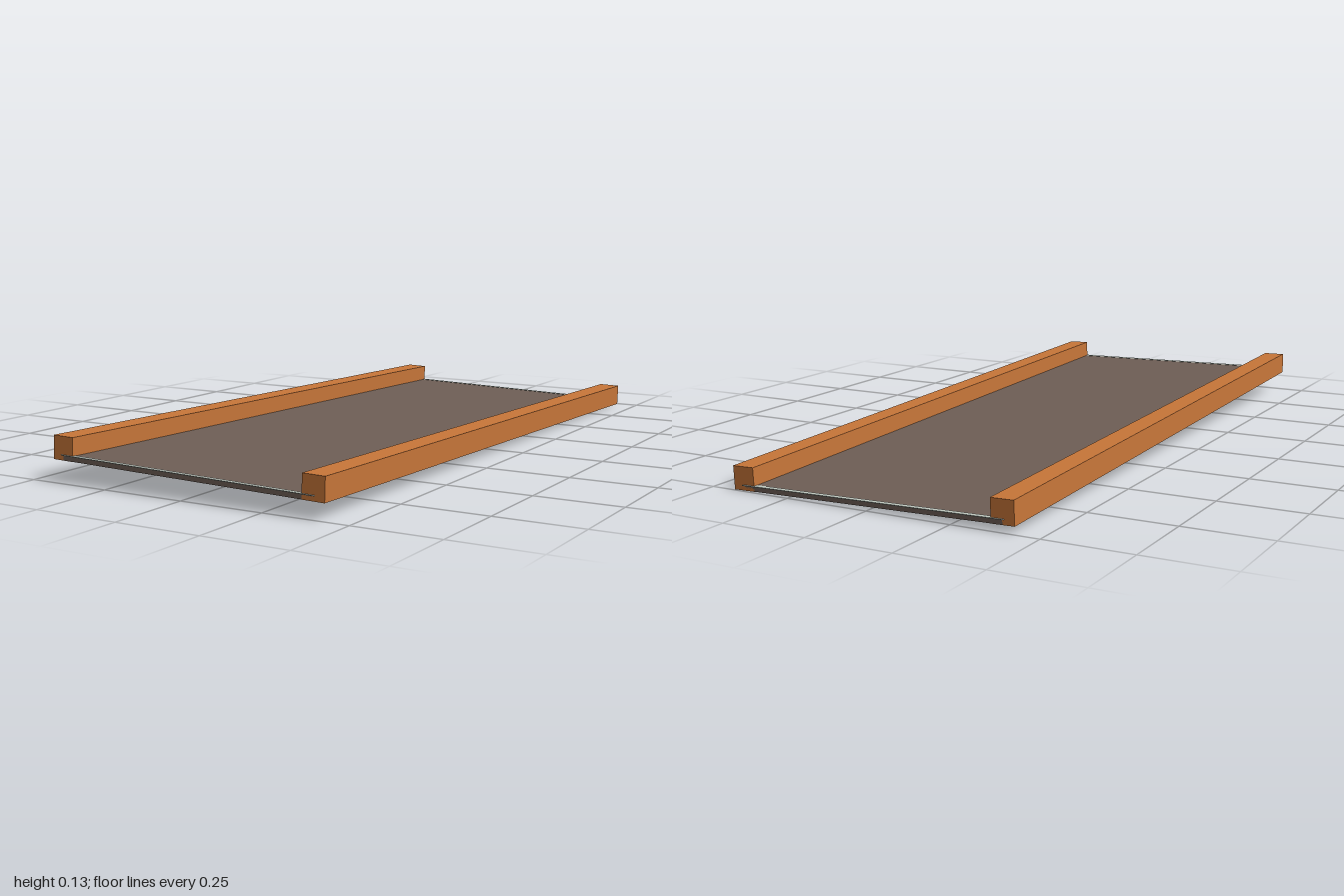
import * as THREE from 'three';

const material = (name, color) => {
  const m = new THREE.MeshStandardMaterial({ color });
  m.name = name;
  return m;
};

export function createModel() {
  const orange = material('orange wood', 0xc87639);
  const brown = material('grey brown deck', 0x6f5f56);
  const pale = material('pale edging', 0xc3cbc2);

  const model = new THREE.Group();
  model.name = 'rampPanel';

  // The whole panel leans: front end raised, left side lowered
  const panel = new THREE.Group();
  panel.name = 'tiltedPanel';
  panel.rotation.set(-0.0223, 0, -0.0223);
  panel.position.y = 0.032;
  model.add(panel);

  // Box whose y is its underside
  const box = (name, mat, w, h, d, x, y, z) => {
    const mesh = new THREE.Mesh(new THREE.BoxGeometry(w, h, d), mat);
    mesh.name = name;
    mesh.position.set(x, y + h / 2, z);
    panel.add(mesh);
  };

  // Flat deck, let into the rails on both sides
  box('deck', brown, 0.79, 0.0145, 1.99, 0, 0.0004, 0);

  // Square side rails
  for (const s of [-1, 1]) {
    box(s > 0 ? 'leftRail' : 'rightRail', orange, 0.066, 0.066, 1.99, s * 0.396, 0, 0);
  }

  // Thin edging strips lying along both ends of the deck
  for (const s of [-1, 1]) {
    box(s > 0 ? 'frontEdging' : 'backEdging', pale, 0.8, 0.002, 0.015, 0, 0.0138, s * 0.9915);
  }

  return model;
}
